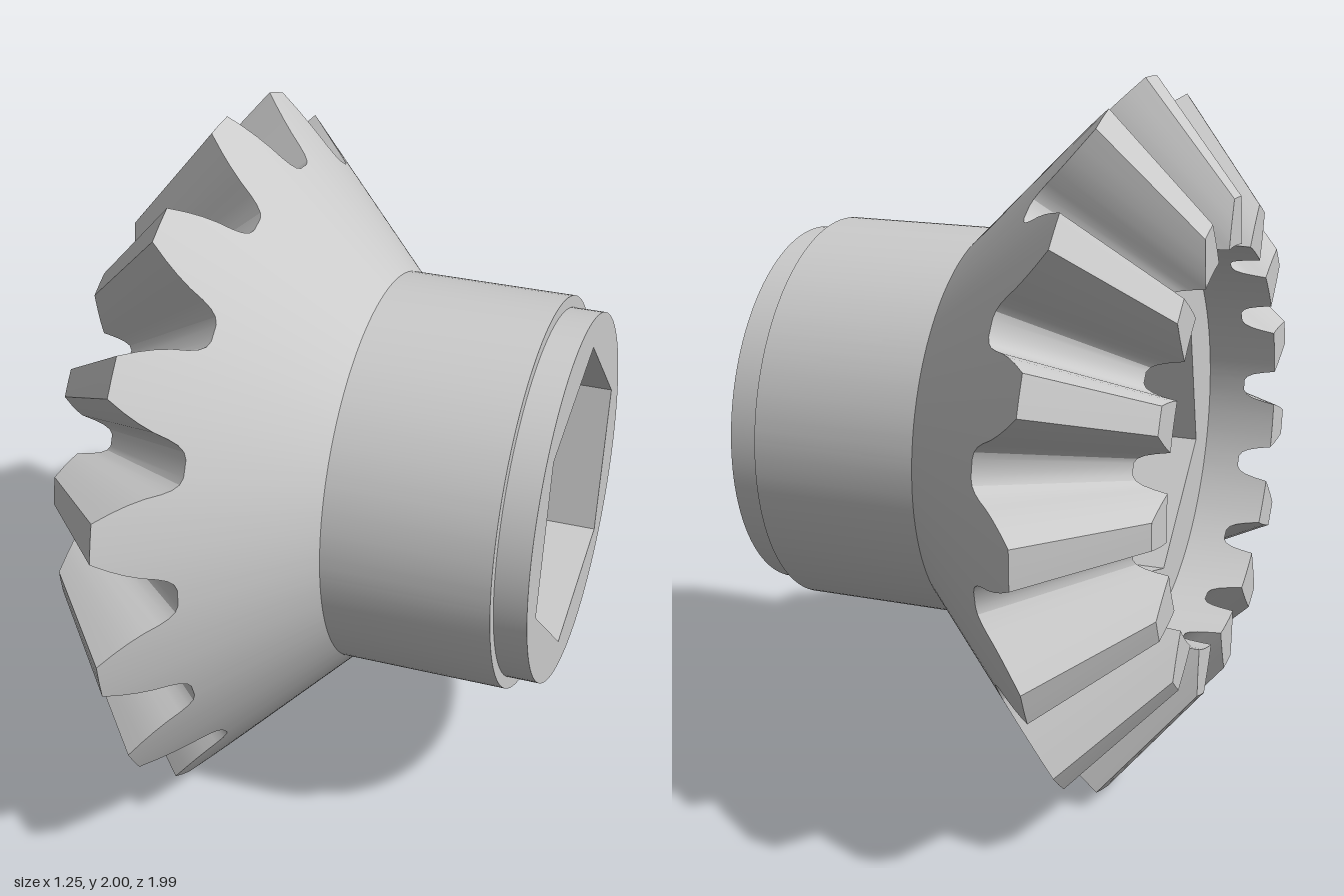
import * as THREE from 'three';
import { toCreasedNormals } from 'three/addons/utils/BufferGeometryUtils.js';

const TEETH = 15;
const FIRST_TOOTH = 0.064;   // angle of the first tooth from straight up, towards +z
const APEX = -1.198;         // x where all tooth lines meet on the axle
const FRONT = -0.63;         // plane that cuts the tooth toes
const RECESS = 0.56;         // radius of the recess inside the teeth
const FLOOR = -0.43;         // x of the recess floor

// Half of a tooth at its wide end: [angle from tooth centre, radius]
const HALF_TOOTH = [
  [0.054, 1], [0.08, 0.965], [0.1, 0.935], [0.117, 0.905],
  [0.13, 0.875], [0.143, 0.855], [0.16, 0.842], [0.182, 0.836],
];

// Cross-section through the axle at one angle, as [x, radius] from the floor to the hub end
function section(r) {
  const heelX = 0.625 - r;
  const slope = r / (heelX - APEX);
  const toeR = Math.max(RECESS, (FRONT - APEX) * slope);
  const toeX = Math.max(FRONT, APEX + RECESS / slope);
  return [
    [FLOOR, 0.51], [FLOOR, RECESS], [toeX, RECESS], [toeX, toeR],
    [heelX, r], [0.07, 0.555], [0.535, 0.555], [0.535, 0.51],
  ];
}

// Toothed cone, recess and hub as one skin swept around the axle
function gearGeometry() {
  const oneTooth = [
    ...HALF_TOOTH.map(([a, r]) => [-a, r]).reverse(), [0, 1], ...HALF_TOOTH,
  ];
  const columns = [];
  for (let k = 0; k < TEETH; k++) {
    for (const [a, r] of oneTooth) {
      const angle = FIRST_TOOTH + (k * 2 * Math.PI) / TEETH + a;
      columns.push(section(r).map(([x, rad]) =>
        new THREE.Vector3(x, 1 + rad * Math.cos(angle), rad * Math.sin(angle))));
    }
  }
  const positions = [];
  const addTriangle = (a, b, c) => {
    if (new THREE.Triangle(a, b, c).getArea() < 1e-8) return;
    for (const p of [a, b, c]) positions.push(p.x, p.y, p.z);
  };
  columns.forEach((col, j) => {
    const next = columns[(j + 1) % columns.length];
    for (let i = 0; i < col.length - 1; i++) {
      addTriangle(col[i], next[i], col[i + 1]);
      addTriangle(next[i], next[i + 1], col[i + 1]);
    }
  });
  const geometry = new THREE.BufferGeometry();
  geometry.setAttribute('position', new THREE.Float32BufferAttribute(positions, 3));
  return toCreasedNormals(geometry, 0.45);
}

// Inner sleeve with the six-sided bore; its end stands out as the stepped collar
function sleeveGeometry() {
  const shape = new THREE.Shape().absarc(0, 0, 0.522, 0, Math.PI * 2, false);
  const corners = [];
  for (let i = 0; i < 6; i++) {
    const angle = -0.243 + (i * Math.PI) / 3;
    corners.push(new THREE.Vector2(-0.435 * Math.sin(angle), 0.435 * Math.cos(angle)));
  }
  shape.holes.push(new THREE.Path(corners));
  const geometry = new THREE.ExtrudeGeometry(shape, {
    depth: 0.625 - FLOOR, bevelEnabled: false, curveSegments: 64,
  });
  geometry.rotateY(Math.PI / 2).translate(FLOOR, 1, 0);
  return toCreasedNormals(geometry, 0.45);
}

export function createModel() {
  const group = new THREE.Group();
  group.name = 'bevelGear';
  const material = new THREE.MeshStandardMaterial({ color: 0xcccccc });
  const add = (name, geometry) => {
    const mesh = new THREE.Mesh(geometry, material);
    mesh.name = name;
    group.add(mesh);
  };
  add('toothedBodyAndHub', gearGeometry());
  add('hexBoreSleeve', sleeveGeometry());
  return group;
}
